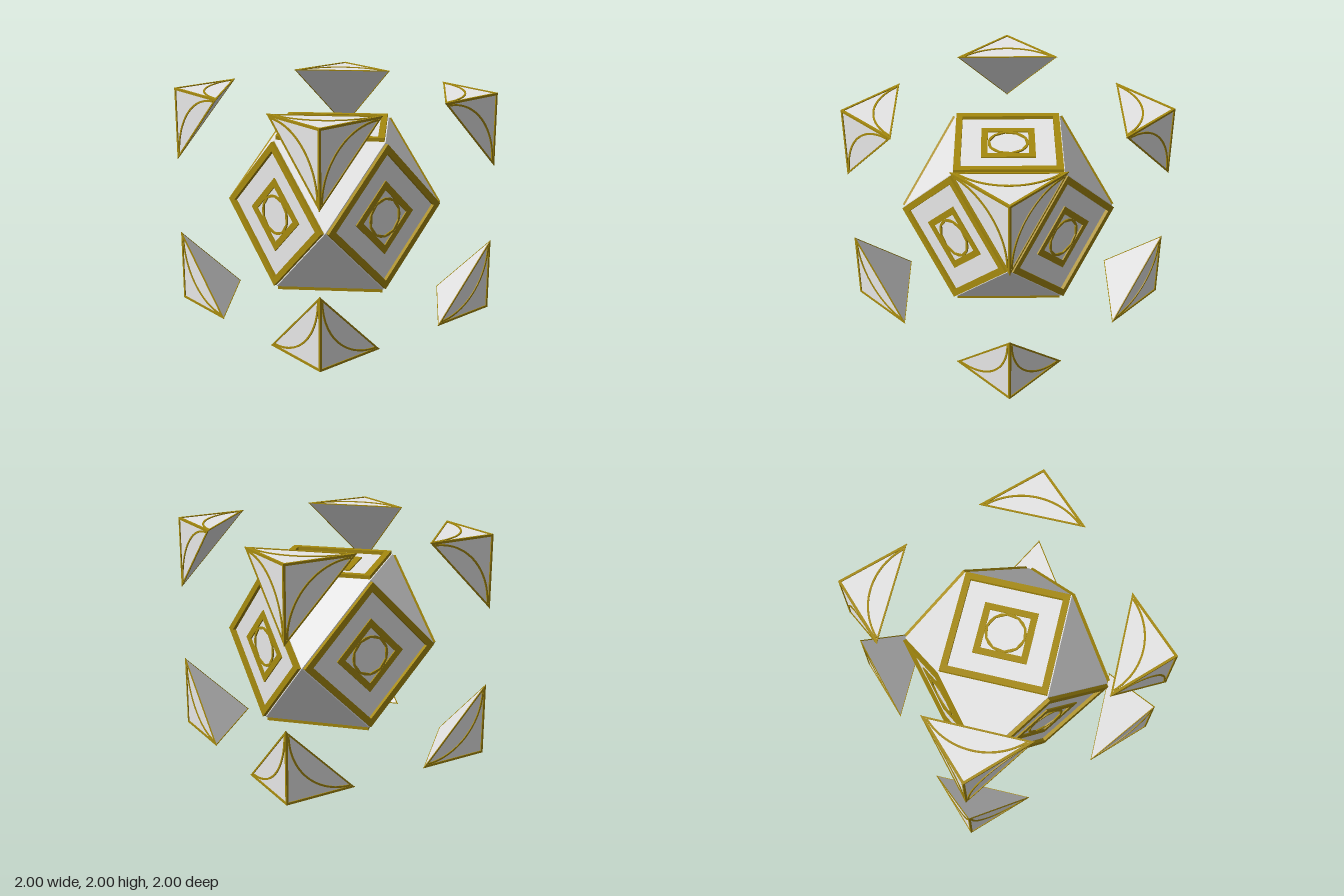
import * as THREE from 'three';
import { ConvexGeometry } from 'three/addons/geometries/ConvexGeometry.js';

const white = new THREE.MeshStandardMaterial({ name: 'white', color: 0xf4f4f4 });
const gold = new THREE.MeshStandardMaterial({ name: 'gold', color: 0xa68a0e });

const CORE = 0.663; // half size of the core
const LEG = 0.65;   // edge length of a corner piece

function mesh(name, geometry, material, z = 0) {
  const m = new THREE.Mesh(geometry, material);
  m.name = name;
  m.position.z = z;
  return m;
}

// Regular polygon outline, first point at the top
function polygon(radius, sides) {
  return Array.from({ length: sides }, (_, i) => {
    const a = Math.PI / 2 + (i / sides) * Math.PI * 2;
    return new THREE.Vector2(radius * Math.cos(a), radius * Math.sin(a));
  });
}

// Flat plate with an optional hole
function plate(outer, inner, depth) {
  const shape = new THREE.Shape(outer);
  if (inner) shape.holes.push(new THREE.Path(inner));
  return new THREE.ExtrudeGeometry(shape, { depth, bevelEnabled: false });
}

// Gold frames and ring on one square face
function facePanel() {
  const g = new THREE.Group();
  g.name = 'facePanel';
  g.add(
    mesh('outerFrame', plate(polygon(0.65, 4), polygon(0.57, 4), 0.032), gold, CORE),
    mesh('innerFrame', plate(polygon(0.33, 4), polygon(0.25, 4), 0.012), gold, CORE),
    mesh('ring', plate(polygon(0.178, 20), polygon(0.16, 10), 0.012), gold, CORE)
  );
  return g;
}

// Right triangle in the z plane with its right angle near (1, 1)
function triangle(side, diagonal) {
  const c = 1 - side;
  const far = 2 - LEG + diagonal * Math.SQRT2 - c;
  return [new THREE.Vector2(c, c), new THREE.Vector2(far, c), new THREE.Vector2(c, far)];
}

// Curved band on a corner face
function arcBand() {
  const centre = 1 - 0.605, points = [];
  for (const [radius, dir] of [[0.585, 1], [0.569, -1]]) {
    for (let i = 0; i <= 24; i++) {
      const t = dir > 0 ? i / 24 : 1 - i / 24;
      const a = 0.01 + t * (Math.PI / 2 - 0.02);
      points.push(new THREE.Vector2(centre + radius * Math.cos(a), centre + radius * Math.sin(a)));
    }
  }
  return plate(points, null, 0.008);
}

// Floating tetrahedron with trim on its three outward faces
function cornerPiece() {
  const g = new THREE.Group();
  const c = 0.992, f = 2 - LEG - c + 0.008;
  g.add(mesh('cornerBody', new ConvexGeometry([
    new THREE.Vector3(c, c, c), new THREE.Vector3(f, c, c),
    new THREE.Vector3(c, f, c), new THREE.Vector3(c, c, f)
  ]), white));
  const axis = new THREE.Vector3(1, 1, 1).normalize();
  for (let i = 0; i < 3; i++) {
    const trim = new THREE.Group();
    trim.name = 'cornerTrim';
    trim.add(
      mesh('edgeFrame', plate(triangle(0, 0), triangle(0.02, 0.014), 0.008), gold, c),
      mesh('arc', arcBand(), gold, c)
    );
    trim.quaternion.setFromAxisAngle(axis, (i * Math.PI * 2) / 3);
    g.add(trim);
  }
  return g;
}

export function createModel() {
  const model = new THREE.Group();
  model.name = 'ornament';
  const body = new THREE.Group();
  body.name = 'body';
  body.position.y = 1;
  model.add(body);

  // Core: a cube cut at its edge midpoints
  const points = [];
  for (const a of [-CORE, CORE]) {
    for (const b of [-CORE, CORE]) {
      points.push(new THREE.Vector3(a, b, 0), new THREE.Vector3(a, 0, b), new THREE.Vector3(0, a, b));
    }
  }
  body.add(mesh('core', new ConvexGeometry(points), white));

  // Six decorated square faces
  const q = Math.PI / 2;
  for (const [x, y] of [[0, 0], [0, q], [0, 2 * q], [0, -q], [q, 0], [-q, 0]]) {
    const panel = facePanel();
    panel.rotation.set(x, y, 0);
    body.add(panel);
  }

  // Eight floating corners
  for (const x of [0, q]) {
    for (let i = 0; i < 4; i++) {
      const corner = cornerPiece();
      corner.name = x ? 'lowerCorner' : 'upperCorner';
      corner.rotation.set(x, i * q, 0, 'YXZ');
      body.add(corner);
    }
  }
  return model;
}
